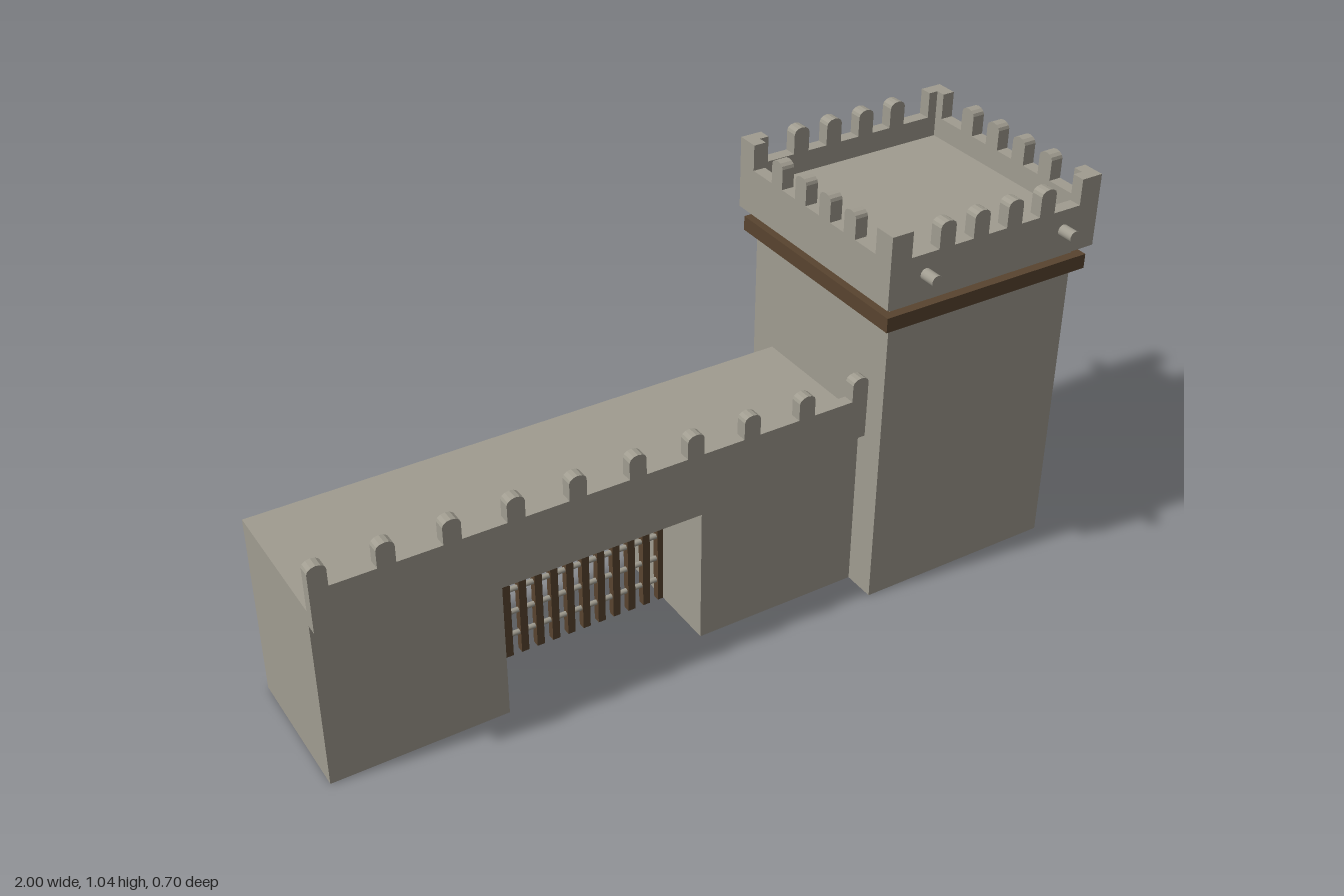
import * as THREE from 'three';

const stone = new THREE.MeshStandardMaterial({ color: 0xa09c90 });
stone.name = 'stone';
const wood = new THREE.MeshStandardMaterial({ color: 0x59442f });
wood.name = 'darkWood';

const MERLON_W = 0.044;

function add(parent, name, geometry, material, x = 0, y = 0, z = 0) {
  const mesh = new THREE.Mesh(geometry, material);
  mesh.name = name;
  mesh.position.set(x, y, z);
  parent.add(mesh);
  return mesh;
}

// Box given by its limits on each axis
function block(parent, name, material, [x0, x1], [y0, y1], [z0, z1]) {
  return add(parent, name, new THREE.BoxGeometry(x1 - x0, y1 - y0, z1 - z0), material,
    (x0 + x1) / 2, (y0 + y1) / 2, (z0 + z1) / 2);
}

// Upright battlement slab, centred on x = 0 and z = 0, with round-topped merlons and square end posts
function battlement(width, bottom, sill, top, merlons, thickness, post = 0) {
  const h = width / 2, m = MERLON_W / 2, rise = 0.015;
  const s = new THREE.Shape();
  s.moveTo(-h, bottom);
  s.lineTo(h, bottom);
  if (post) {
    s.lineTo(h, top);
    s.lineTo(h - post, top);
    s.lineTo(h - post, sill);
  } else if (merlons[merlons.length - 1] + m < h - 0.001) s.lineTo(h, sill);
  for (const c of [...merlons].reverse()) {
    s.lineTo(c + m, sill);
    for (let i = 0; i <= 6; i++) {
      const a = (i / 6) * Math.PI;
      s.lineTo(c + m * Math.cos(a), top - rise + rise * Math.sin(a));
    }
    s.lineTo(c - m, sill);
  }
  if (post) {
    s.lineTo(-h + post, sill);
    s.lineTo(-h + post, top);
    s.lineTo(-h, top);
  } else if (merlons[0] - m > -h + 0.001) s.lineTo(-h, sill);
  s.closePath();
  const g = new THREE.ExtrudeGeometry(s, { depth: thickness, bevelEnabled: false });
  return g.translate(0, 0, -thickness / 2);
}

function createTower() {
  const tower = new THREE.Group();
  tower.name = 'tower';
  tower.position.x = 0.695;
  const half = 0.305, shaft = 0.272, t = 0.033;

  block(tower, 'towerShaft', stone, [-shaft, shaft], [0, 0.92], [-shaft, shaft]);
  block(tower, 'woodenBand', wood, [-0.296, 0.296], [0.79, 0.828], [-0.296, 0.296]);

  // Parapet on four sides; the side slabs fit between the front and back ones
  const merlons = [-0.147, -0.049, 0.049, 0.147];
  const long = battlement(half * 2, 0.855, 0.975, 1.042, merlons, t, 0.058);
  const short = battlement((half - t) * 2, 0.855, 0.975, 1.042, merlons, t, 0.058 - t);
  for (const side of [-1, 1]) {
    add(tower, 'towerParapet', long, stone, 0, 0, side * (half - t / 2));
    add(tower, 'towerSideParapet', short, stone, side * (half - t / 2), 0, 0).rotation.y = Math.PI / 2;
    // Beam ends on front and back
    for (const x of [-0.203, 0.203]) {
      const peg = new THREE.CylinderGeometry(0.015, 0.015, 0.06, 16).rotateX(Math.PI / 2);
      add(tower, 'beamEnd', peg, stone, x, 0.922, side * 0.318);
    }
  }
  return tower;
}

function createWall() {
  const wall = new THREE.Group();
  wall.name = 'gateWall';

  // Wall body with the gateway cut through
  const s = new THREE.Shape();
  [[-1, 0], [-0.55, 0], [-0.55, 0.37], [-0.025, 0.37], [-0.025, 0], [0.44, 0], [0.44, 0.495], [-1, 0.495]]
    .forEach(([x, y], i) => (i ? s.lineTo(x, y) : s.moveTo(x, y)));
  const body = new THREE.ExtrudeGeometry(s, { depth: 0.376, bevelEnabled: false });
  add(wall, 'wallBody', body, stone, 0, 0, -0.19);

  // Overhanging parapet along the front
  const merlons = Array.from({ length: 10 }, (_, i) => -0.688 + i * 0.153);
  add(wall, 'wallParapet', battlement(1.42, 0.455, 0.565, 0.625, merlons, 0.03), stone, -0.29, 0, 0.2);

  // Portcullis
  const gate = new THREE.Group();
  gate.name = 'portcullis';
  for (let i = 0; i < 13; i++) {
    add(gate, 'uprightBar', new THREE.BoxGeometry(0.02, 0.372, 0.02), wood, -0.544 + i * 0.0428, 0.186, 0);
  }
  for (let i = 0; i < 5; i++) {
    const rod = new THREE.CylinderGeometry(0.007, 0.007, 0.535, 12).rotateZ(Math.PI / 2);
    add(gate, 'crossRod', rod, stone, -0.2875, 0.058 + i * 0.068, 0);
  }
  wall.add(gate);
  return wall;
}

export function createModel() {
  const model = new THREE.Group();
  model.name = 'castleGate';
  model.add(createWall(), createTower());
  return model;
}
